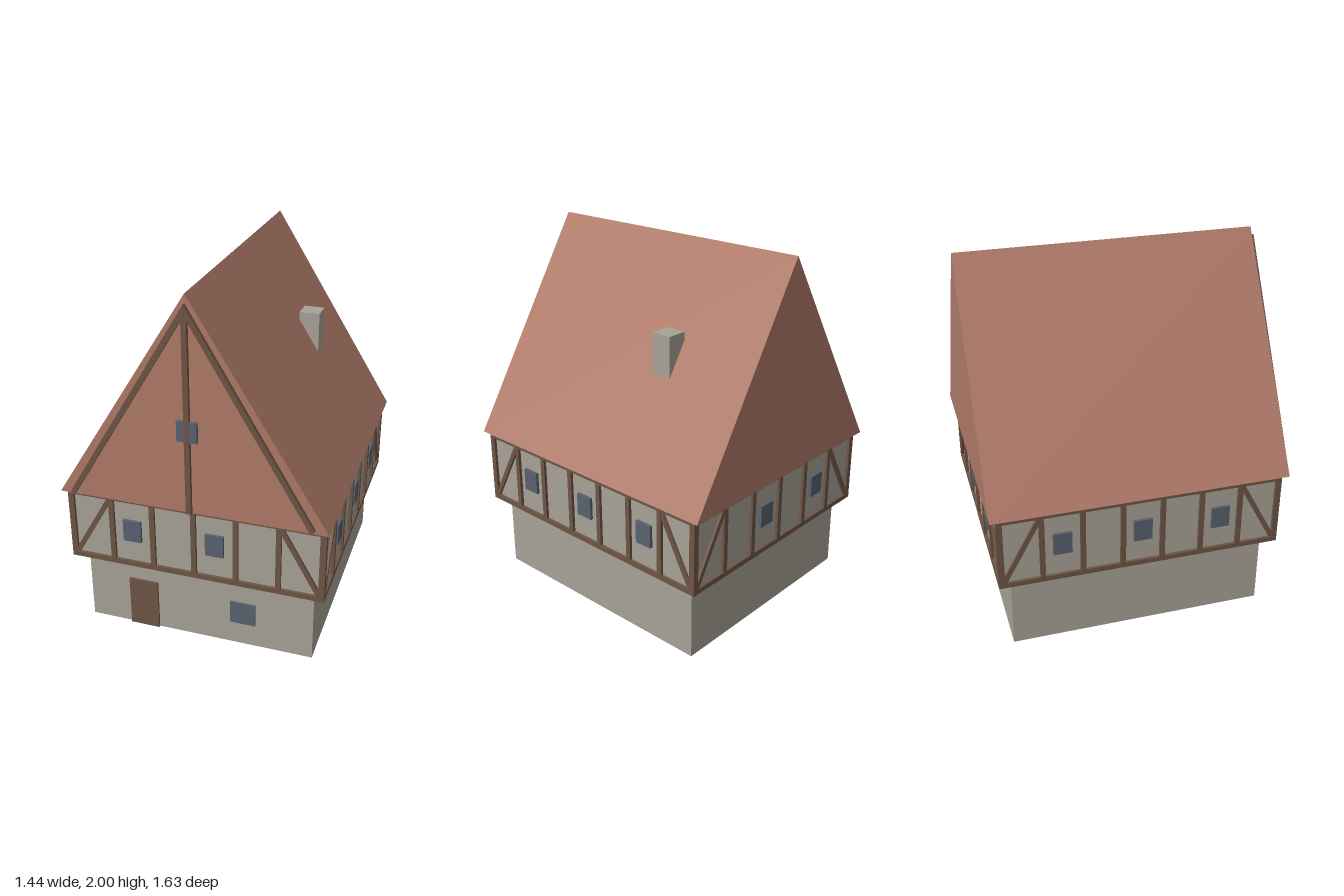
import * as THREE from 'three';

const material = (name, color) => {
  const m = new THREE.MeshStandardMaterial({ color });
  m.name = name;
  return m;
};

export function createModel() {
  const plaster = material('plaster', 0xa8a297);
  const tile = material('roofTile', 0xb07a68);
  const wood = material('timber', 0x6e5546);
  const glass = material('glass', 0x58626f);

  const house = new THREE.Group();
  house.name = 'timberFramedHouse';
  const ZC = -0.011; // the building sits slightly back, gable beams stick out in front

  function box(parent, name, mat, w, h, d, x, y, z) {
    const mesh = new THREE.Mesh(new THREE.BoxGeometry(w, h, d), mat);
    mesh.name = name;
    mesh.position.set(x, y, z);
    parent.add(mesh);
    return mesh;
  }

  // Beam of square-ish section between two points in the local xy plane
  function beam(parent, name, x1, y1, x2, y2, width, depth, z) {
    const dx = x2 - x1, dy = y2 - y1;
    const mesh = box(parent, name, wood, width, Math.hypot(dx, dy), depth, (x1 + x2) / 2, (y1 + y2) / 2, z);
    mesh.rotation.z = -Math.atan2(dx, dy);
    return mesh;
  }

  // Ground floor with door and window
  box(house, 'groundFloor', plaster, 1.27, 0.45, 1.41, 0, 0.225, ZC);
  box(house, 'door', wood, 0.165, 0.295, 0.03, -0.317, 0.1475, 0.692);
  box(house, 'groundWindow', glass, 0.14, 0.13, 0.03, 0.25, 0.205, 0.692);

  // Upper floor core
  const HX = 0.684, HZ = 0.757, Y0 = 0.425, Y1 = 0.847, T = 0.032;
  box(house, 'upperFloor', plaster, HX * 2, Y1 - Y0 - 0.01, HZ * 2, 0, (Y0 + Y1) / 2, ZC);

  // One framed wall: rails, posts, corner braces and windows
  function framedWall(name, half, dist, bays, windowBays, angle) {
    const wall = new THREE.Group();
    wall.name = name;
    wall.position.z = ZC;
    wall.rotation.y = angle;
    house.add(wall);
    const step = (half * 2) / bays;
    for (const y of [Y0 + 0.014, Y1 - 0.016]) {
      box(wall, 'rail', wood, half * 2 + T, y < 0.6 ? 0.028 : T, T, 0, y, dist);
    }
    for (let i = 0; i <= bays; i++) {
      const w = i === 0 || i === bays ? T : 0.028;
      box(wall, 'post', wood, w, Y1 - Y0, T, -half + i * step, (Y0 + Y1) / 2, dist);
    }
    for (const s of [-1, 1]) {
      beam(wall, 'brace', s * (half - 0.008), Y0 + 0.022, s * (half - step + 0.008), Y1 - 0.03, 0.026, T - 0.004, dist);
    }
    for (const i of windowBays) {
      box(wall, 'window', glass, 0.1, 0.125, T, -half + (i + 0.5) * step, 0.643, dist);
    }
  }
  framedWall('frontWall', HX, HZ, 6, [1, 3], 0);
  framedWall('backWall', HX, HZ, 6, [2, 4], Math.PI);
  framedWall('leftWall', HZ, HX, 7, [1, 3, 5], Math.PI / 2);
  framedWall('rightWall', HZ, HX, 7, [1, 3, 5], -Math.PI / 2);

  // Steep solid gable roof
  const gable = new THREE.Shape([
    new THREE.Vector2(-0.72, 0.845),
    new THREE.Vector2(0.72, 0.845),
    new THREE.Vector2(0, 2),
  ]);
  const roof = new THREE.Mesh(new THREE.ExtrudeGeometry(gable, { depth: 1.611, bevelEnabled: false }), tile);
  roof.name = 'roof';
  roof.position.z = -0.816;
  house.add(roof);

  // Gable timbers and attic window
  box(house, 'gablePost', wood, 0.028, 1.075, 0.03, 0, 0.847 + 0.5375, 0.801);
  for (const s of [-1, 1]) {
    // Rafter cut vertically at the ridge so the pair meets cleanly
    const rafter = new THREE.Shape([
      new THREE.Vector2(0, 1.955),
      new THREE.Vector2(s * 0.65, 0.868),
      new THREE.Vector2(s * 0.627, 0.854),
      new THREE.Vector2(0, 1.9),
    ]);
    const mesh = new THREE.Mesh(new THREE.ExtrudeGeometry(rafter, { depth: 0.026, bevelEnabled: false }), wood);
    mesh.name = 'gableRafter';
    mesh.position.z = 0.79;
    house.add(mesh);
  }
  box(house, 'atticWindow', glass, 0.105, 0.108, 0.03, 0, 1.307, 0.8);

  // Chimney
  box(house, 'chimney', plaster, 0.113, 0.4, 0.113, 0.338, 1.39, -0.293);

  return house;
}
